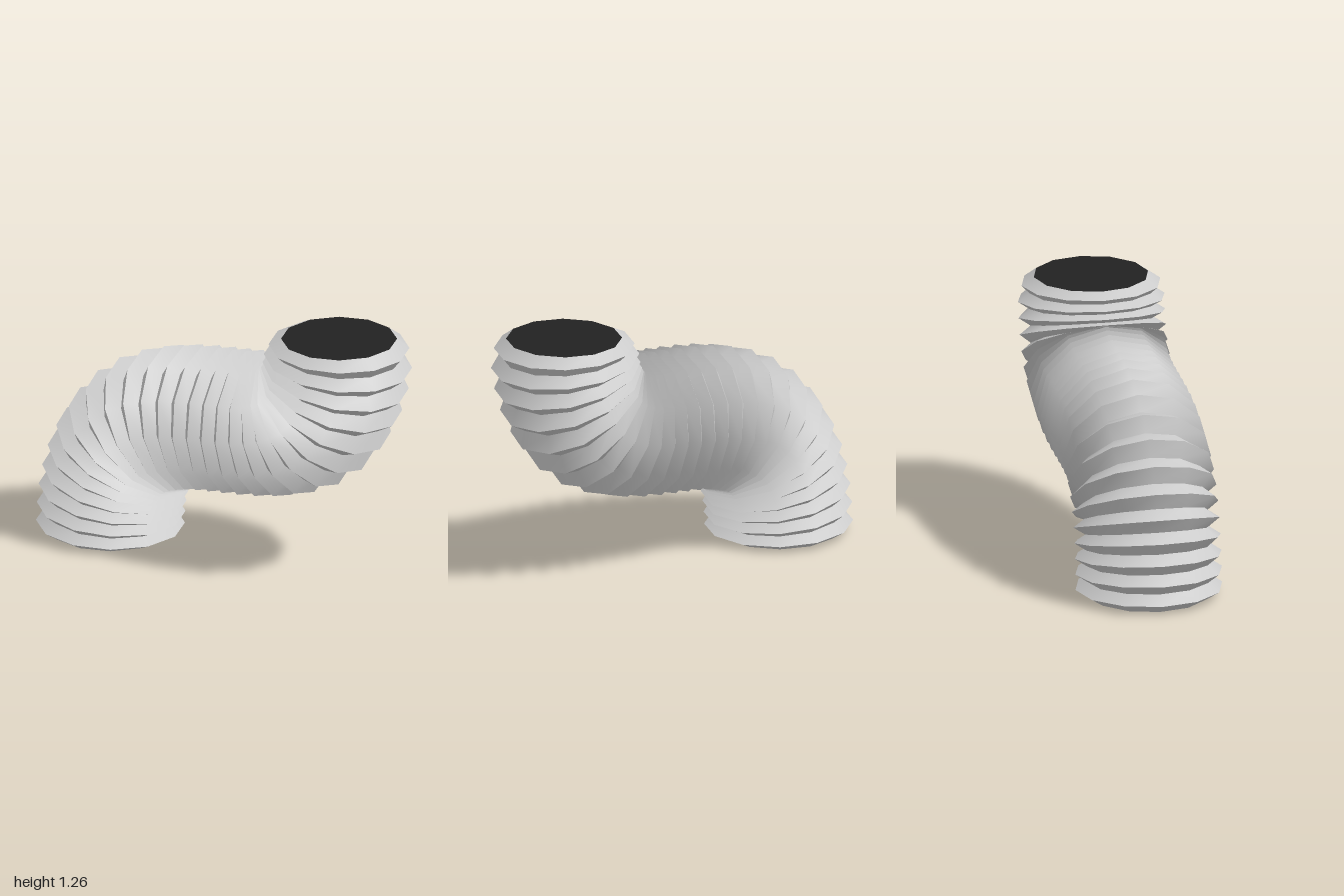
import * as THREE from 'three';

const SIDES = 12;
const FOLDS = 26;
const PHASE = THREE.MathUtils.degToRad(2.4);

// Centre line: a flat S from the bottom opening to the top opening
const path = new THREE.CubicBezierCurve3(
  new THREE.Vector3(-0.635, 0, 0),
  new THREE.Vector3(-0.635, 1.26, 0),
  new THREE.Vector3(0.645, 0.2, 0),
  new THREE.Vector3(0.645, 1.258, 0)
);
path.arcLengthDivisions = 600;

// Points of one ring, square to the centre line
function ring(u, radius) {
  const centre = path.getPointAt(u);
  const t = path.getTangentAt(u);
  const across = new THREE.Vector3(t.y, -t.x, 0);
  return Array.from({ length: SIDES }, (_, i) => {
    const a = PHASE + (i / SIDES) * Math.PI * 2;
    return centre.clone()
      .addScaledVector(across, radius * Math.cos(a))
      .add(new THREE.Vector3(0, 0, radius * Math.sin(a)));
  });
}

// Valleys on even steps, crests on odd steps, slightly narrower at the ends
function radiusAt(step) {
  const last = FOLDS * 2;
  if (step === 0) return 0.3;
  if (step === last) return 0.288;
  if (step === last - 1) return 0.35;
  return step % 2 ? 0.37 : 0.312;
}

function toGeometry(points, index) {
  const g = new THREE.BufferGeometry().setFromPoints(points);
  g.setIndex(index);
  g.computeVertexNormals();
  return g;
}

export function createModel() {
  const group = new THREE.Group();
  group.name = 'bellowsHose';
  const grey = new THREE.MeshStandardMaterial({ color: 0xcccccc, side: THREE.DoubleSide });
  const dark = new THREE.MeshStandardMaterial({ color: 0x222222 });

  const steps = FOLDS * 2;
  const rings = Array.from({ length: steps + 1 }, (_, s) => ring(s / steps, radiusAt(s)));

  // Pleats: each band has its own vertices, smooth around and sharp at the folds
  const points = [];
  const index = [];
  for (let s = 0; s < steps; s++) {
    const base = points.length;
    points.push(...rings[s], ...rings[s + 1]);
    for (let i = 0; i < SIDES; i++) {
      const j = (i + 1) % SIDES;
      const a = base + i, b = base + j, c = a + SIDES, d = b + SIDES;
      index.push(a, c, b, b, c, d);
    }
  }
  const pleats = new THREE.Mesh(toGeometry(points, index), grey);
  pleats.name = 'pleatedHose';
  group.add(pleats);

  // Dark flat discs closing both ends
  const addCap = (name, rim, centre, up) => {
    const tris = [];
    for (let i = 0; i < SIDES; i++) {
      const j = (i + 1) % SIDES;
      tris.push(SIDES, up ? j : i, up ? i : j);
    }
    const cap = new THREE.Mesh(toGeometry([...rim, centre], tris), dark);
    cap.name = name;
    group.add(cap);
  };
  addCap('bottomOpening', rings[0], path.getPointAt(0), false);
  addCap('topOpening', rings[steps], path.getPointAt(1), true);

  return group;
}
